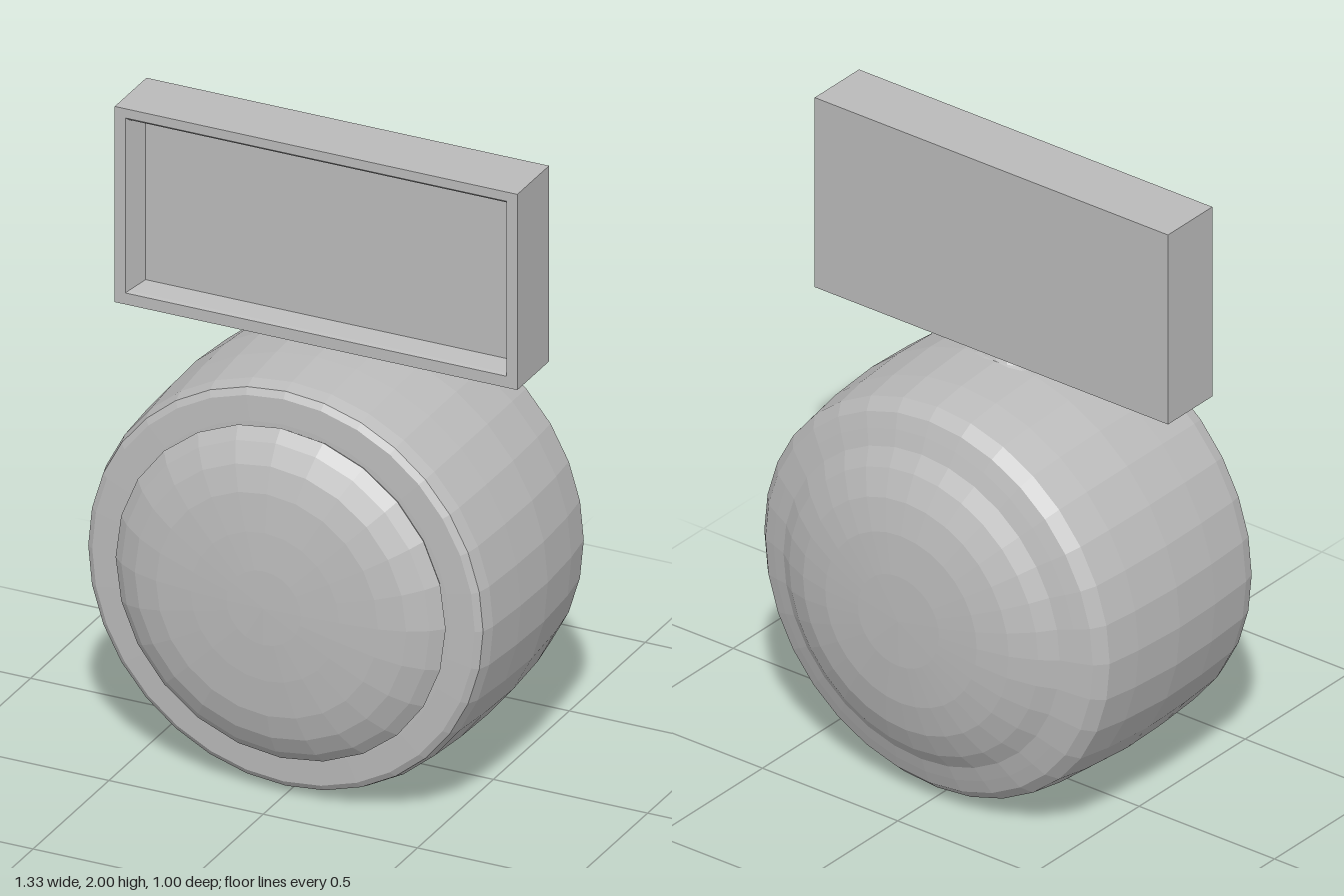
import * as THREE from 'three';

const grey = new THREE.MeshStandardMaterial({ color: 0xbababa, flatShading: true });
grey.name = 'plain grey';

function add(group, name, geometry) {
  const mesh = new THREE.Mesh(geometry, grey);
  mesh.name = name;
  group.add(mesh);
  return mesh;
}

// Turned solid around z; profile is [radius, z] from back to front
function turned(profile, sides) {
  const points = profile.map(([r, z]) => new THREE.Vector2(r, z));
  return new THREE.LatheGeometry(points, sides).rotateX(Math.PI / 2);
}

// Skin over nested rectangles [left, right, bottom, top, z], capped at both ends
function rectangleLoft(rects) {
  const position = [], index = [];
  for (const [l, r, b, t, z] of rects) position.push(l, b, z, r, b, z, r, t, z, l, t, z);
  for (let i = 0; i < rects.length - 1; i++) {
    for (let k = 0; k < 4; k++) {
      const a = i * 4 + k, b = i * 4 + (k + 1) % 4;
      index.push(a, b, b + 4, a, b + 4, a + 4);
    }
  }
  const e = (rects.length - 1) * 4;
  index.push(0, 2, 1, 0, 3, 2, e, e + 1, e + 2, e, e + 2, e + 3);
  const geometry = new THREE.BufferGeometry();
  geometry.setAttribute('position', new THREE.Float32BufferAttribute(position, 3));
  geometry.setIndex(index);
  const flat = geometry.toNonIndexed();
  flat.computeVertexNormals();
  return flat;
}

export function createModel() {
  const model = new THREE.Group();
  model.name = 'drum with display panel';

  // Barrel with a soft back shoulder, domed back and flat front rim
  const barrel = add(model, 'barrel', turned([
    [0, -0.5], [0.15, -0.497], [0.28, -0.485], [0.38, -0.462], [0.46, -0.425],
    [0.51, -0.388], [0.56, -0.37], [0.605, -0.352], [0.638, -0.315],
    [0.655, -0.2], [0.667, -0.02], [0.663, 0.15], [0.652, 0.31],
    [0.64, 0.352], [0.62, 0.366], [0.54, 0.37], [0, 0.37],
  ], 32));
  barrel.position.y = 0.67;

  // Domed front face
  const dome = add(model, 'frontDome', turned([
    [0.52, 0.36], [0.535, 0.385], [0.5, 0.418], [0.44, 0.452],
    [0.36, 0.475], [0.24, 0.489], [0.12, 0.497], [0, 0.5],
  ], 24));
  dome.position.y = 0.67;

  // Small waisted neck between barrel and panel
  const neckProfile = [[0.16, 1.31], [0.08, 1.335], [0.06, 1.348], [0.1, 1.36], [0.11, 1.372]];
  const neck = add(model, 'neck', new THREE.LatheGeometry(
    neckProfile.map(([r, y]) => new THREE.Vector2(r, y)), 12));
  neck.scale.z = 0.5;

  // Rectangular panel with a recessed, tapering front
  add(model, 'panel', rectangleLoft([
    [-0.655, 0.65, 1.365, 2, -0.062],
    [-0.655, 0.65, 1.365, 2, 0.147],
    [-0.62, 0.615, 1.402, 1.97, 0.147],
    [-0.615, 0.61, 1.406, 1.96, 0.135],
    [-0.59, 0.6, 1.42, 1.945, 0.075],
  ]));

  return model;
}
